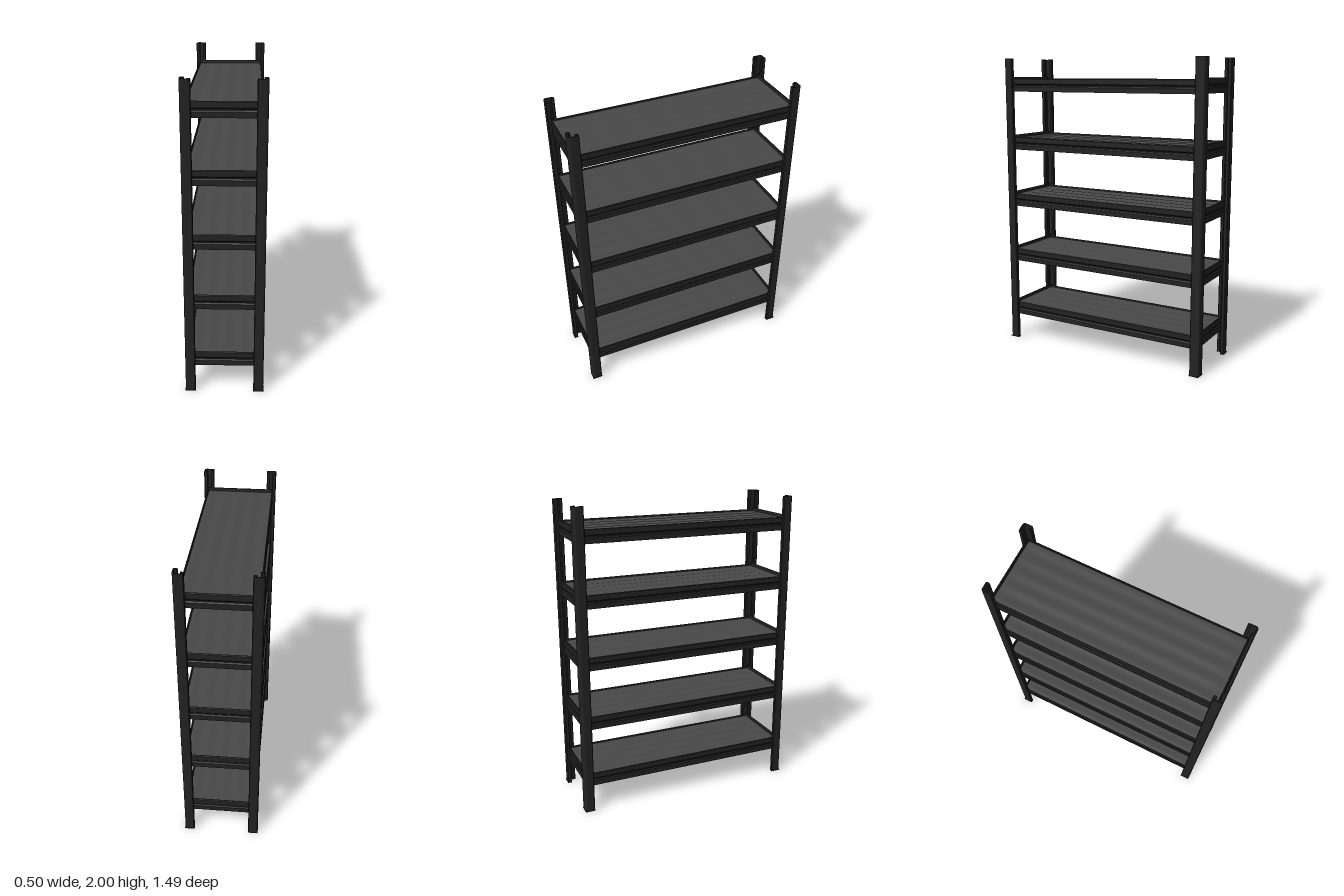
import * as THREE from 'three';

const metal = new THREE.MeshStandardMaterial({ color: 0x222222 });
metal.name = 'black metal';
const deckGrey = new THREE.MeshStandardMaterial({ color: 0x484848 });
deckGrey.name = 'grey deck';

function extrude(points, depth) {
  const shape = new THREE.Shape(points.map(p => new THREE.Vector2(...p)));
  return new THREE.ExtrudeGeometry(shape, { depth, bevelEnabled: false });
}

// Angle post with a rounded outer corner and hooked lips, symmetric about its diagonal
function postGeometry() {
  const w = 0.064, t = 0.007, lip = 0.026, back = 0.02, c = 0.004;
  const arm = [[0, 0.016], [0, w - c], [c, w], [lip - c, w], [lip, w - c], [lip, w - back],
    [lip - t, w - back], [lip - t, w - t], [t, w - t], [t, 0.018]];
  const corner = [[0.009, 0.009], [0.018, t]];
  const other = arm.map(([x, y]) => [y, x]).reverse().slice(1);
  return extrude([...arm, corner[0], corner[1], ...other, [0.008, 0.002], [0.002, 0.008]], 2)
    .rotateX(-Math.PI / 2);
}

// Beam with a shallow groove outside and a flange turned in below
function beamGeometry(length, h) {
  return extrude([[0, 0], [0, h * 0.36], [-0.006, h * 0.44], [-0.006, h * 0.52], [0, h * 0.6],
    [0, h - 0.003], [-0.003, h], [-0.009, h], [-0.012, h * 0.6], [-0.014, h * 0.36],
    [-0.014, 0.006], [-0.034, 0.006], [-0.034, 0]], length).translate(0, 0, -length / 2);
}

// Thin panel with shallow lengthwise ribs that fade out near the ends
function deckGeometry() {
  const g = new THREE.BoxGeometry(0.44, 0.012, 1.428, 44, 1, 30);
  const p = g.attributes.position;
  for (let i = 0; i < p.count; i++) {
    if (p.getY(i) < 0) continue;
    const x = p.getX(i);
    const fade = THREE.MathUtils.clamp((0.705 - Math.abs(p.getZ(i))) / 0.05, 0, 1);
    p.setY(i, p.getY(i) + 0.0022 * Math.cos(x * Math.PI * 20) * fade);
  }
  g.computeVertexNormals();
  return g;
}

export function createModel() {
  const model = new THREE.Group();
  model.name = 'shelvingUnit';
  const add = (parent, name, geometry, material, x, y, z, turn = 0) => {
    const mesh = new THREE.Mesh(geometry, material);
    mesh.name = name;
    mesh.position.set(x, y, z);
    mesh.rotation.y = turn;
    parent.add(mesh);
    return mesh;
  };

  // Corner posts with small feet
  const post = postGeometry();
  const foot = new THREE.BoxGeometry(0.066, 0.006, 0.027);
  [[-1, 1], [1, 1], [1, -1], [-1, -1]].forEach(([sx, sz], i) => {
    add(model, 'post', post, metal, sx * 0.248, 0, sz * 0.744, i * Math.PI / 2);
    add(model, 'foot', foot, metal, sx * 0.217, 0.003, sz * 0.7315);
    add(model, 'foot', foot, metal, sx * 0.2365, 0.003, sz * 0.712, Math.PI / 2);
  });

  // Shelves: four beams, a ribbed deck and crossed braces beneath
  const sideBeam = beamGeometry(1.44, 0.087);
  const endBeam = beamGeometry(0.45, 0.095);
  const deck = deckGeometry();
  const brace = new THREE.BoxGeometry(0.034, 0.018, 1.44);
  const braceRib = new THREE.BoxGeometry(0.012, 0.008, 1.42);
  for (let i = 0; i < 5; i++) {
    const shelf = new THREE.Group();
    shelf.name = 'shelf';
    shelf.position.y = 0.177 + i * 0.4;
    model.add(shelf);
    for (const s of [1, -1]) {
      add(shelf, 'sideBeam', sideBeam, metal, s * 0.229, 0, 0, s > 0 ? 0 : Math.PI);
      add(shelf, 'endBeam', endBeam, metal, 0, 0.002, s * 0.724, -s * Math.PI / 2);
      const angle = s * Math.atan2(0.42, 1.4);
      add(shelf, 'brace', brace, metal, 0, 0.053 - (s > 0 ? 0 : 0.003), 0, angle);
      add(shelf, 'braceRib', braceRib, metal, 0, 0.041 - (s > 0 ? 0 : 0.003), 0, angle);
    }
    add(shelf, 'deck', deck, deckGrey, 0, 0.07, 0);
  }
  return model;
}
